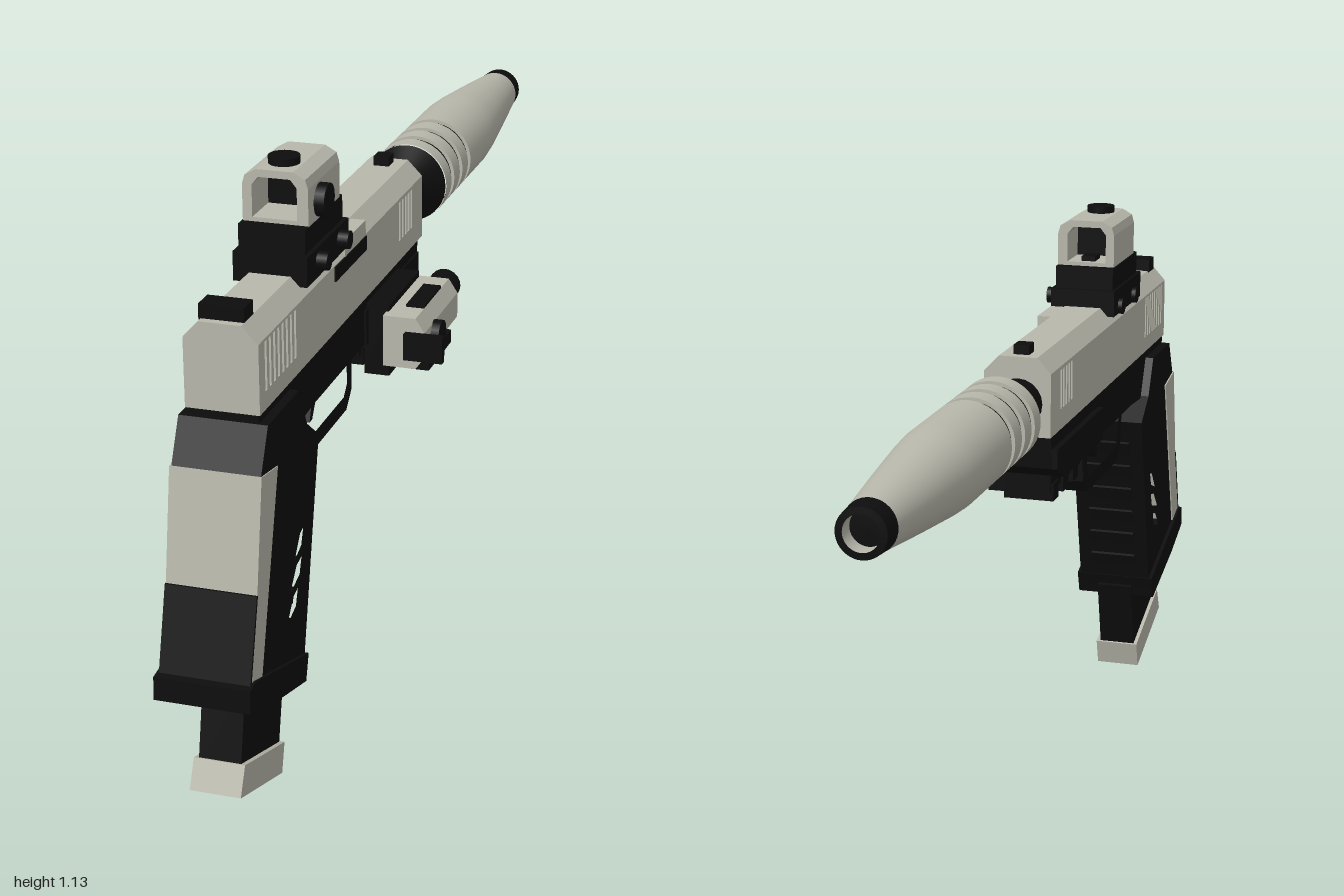
import * as THREE from 'three';

export function createModel() {
  const model = new THREE.Group();
  const light = new THREE.MeshStandardMaterial({ color: 0xb8b7ab });
  light.name = 'warm grey';
  const black = new THREE.MeshStandardMaterial({ color: 0x0d0d0d });
  black.name = 'black';
  const CX = -0.069, CY = 0.845;

  const add = (name, geo, mat) => {
    const m = new THREE.Mesh(geo, mat);
    m.name = name;
    model.add(m);
    return m;
  };
  const vec = (pts) => pts.map(([a, b]) => new THREE.Vector2(a, b));
  const extrude = (pts, depth, holes = []) => {
    const s = new THREE.Shape(vec(pts));
    holes.forEach((h) => s.holes.push(new THREE.Path(vec(h))));
    return new THREE.ExtrudeGeometry(s, { depth, bevelEnabled: false });
  };
  // profile in (z, y), extruded across x
  const side = (name, pts, x0, x1, mat, holes) =>
    add(name, extrude(pts, x1 - x0, holes).rotateY(-Math.PI / 2).translate(x1, 0, 0), mat);
  // profile in (x, y), extruded along z
  const along = (name, pts, z0, z1, mat, holes) =>
    add(name, extrude(pts, z1 - z0, holes).translate(0, 0, z0), mat);
  const box = (name, x0, x1, y0, y1, z0, z1, mat) =>
    add(name, new THREE.BoxGeometry(x1 - x0, y1 - y0, z1 - z0)
      .translate((x0 + x1) / 2, (y0 + y1) / 2, (z0 + z1) / 2), mat);
  const knob = (name, axis, r, len, x, y, z, mat = black) => {
    const g = new THREE.CylinderGeometry(r, r, len, 20);
    if (axis === 'x') g.rotateZ(Math.PI / 2);
    if (axis === 'z') g.rotateX(Math.PI / 2);
    return add(name, g.translate(x, y, z), mat);
  };
  const lathe = (name, pts, mat) =>
    add(name, new THREE.LatheGeometry(vec(pts.map(([z, r]) => [r, -z])), 40)
      .rotateX(-Math.PI / 2).translate(CX, CY, 0), mat);
  const rect = (a0, a1, b0, b1) => [[a0, b0], [a1, b0], [a1, b1], [a0, b1]];

  // Slide: hollow shell with slotted sides and a chamfered roof
  const slots = [];
  for (let i = 0; i < 8; i++) {
    const z = 0.675 + i * 0.0215;
    slots.push([[z, 0.812], [z + 0.01, 0.812], [z + 0.01, 0.902], [z, 0.902]]);
  }
  for (let i = 0; i < 5; i++) {
    const z = -0.035 + i * 0.02;
    slots.push(rect(z, z + 0.011, 0.82, 0.9));
  }
  const wall = rect(-0.105, 0.865, 0.778, 0.907);
  side('slideSide', wall, -0.136, -0.122, light, slots);
  side('slideSide', wall, -0.014, 0, light, slots);
  along('slideRoof', [[-0.136, 0.907], [0, 0.907], [-0.03, 0.938], [-0.108, 0.938]], -0.105, 0.865, light);
  box('slideBack', -0.122, -0.014, 0.778, 0.907, 0.845, 0.865, light);
  box('slideNose', -0.122, -0.014, 0.778, 0.907, -0.105, -0.085, light);
  box('ejectionPort', -0.004, 0.003, 0.877, 0.905, 0.275, 0.46, black);
  box('ejectionPortCover', -0.035, 0.001, 0.905, 0.936, 0.275, 0.4, light);
  box('rearSight', -0.112, -0.03, 0.935, 0.964, 0.805, 0.85, black);
  box('frontSight', -0.086, -0.054, 0.935, 0.957, -0.085, -0.05, black);

  // Barrel and suppressor
  knob('barrel', 'z', 0.05, 0.75, CX, CY, 0.165);
  lathe('suppressorCollar', [[-0.19, 0.05], [-0.205, 0.06], [-0.235, 0.082]], black);
  const bands = [-0.235, -0.275, -0.297, -0.34, -0.361, -0.405, -0.426];
  for (let i = 0; i < 6; i++) {
    const r = i % 2 ? 0.077 : 0.084, a = bands[i], b = bands[i + 1];
    lathe(i % 2 ? 'suppressorGroove' : 'suppressorRing', [[a, r], [b, r]], i % 2 ? black : light);
    if (i % 2) {
      lathe('ringEdge', [[a, 0.084], [a - 0.0001, 0.077]], light);
      lathe('ringEdge', [[b + 0.0001, 0.077], [b, 0.084]], light);
    }
  }
  lathe('suppressorBody', [[-0.426, 0.084], [-0.6, 0.084], [-0.66, 0.08], [-0.8, 0.066], [-0.955, 0.049]], light);
  lathe('suppressorTip', [[-0.955, 0.049], [-0.999, 0.046]], black);
  lathe('suppressorTipFace', [[-0.999, 0.046], [-1, 0.033]], black);
  lathe('suppressorBore', [[-1, 0.033], [-0.965, 0.033]], light);
  lathe('suppressorBoreEnd', [[-0.965, 0.033], [-0.966, 0]], black);

  // Frame under the slide
  side('frame', [[0.86, 0.778], [0.86, 0.745], [0.72, 0.67], [0.58, 0.68], [0.27, 0.68], [-0.03, 0.68],
    [-0.085, 0.71], [-0.09, 0.778]].reverse(), -0.133, -0.005, black);
  side('dustCover', [[-0.085, 0.71], [-0.03, 0.68], [0.27, 0.68], [0.27, 0.75], [-0.085, 0.75]], -0.145, -0.001, black);
  box('accessoryRail', -0.115, -0.022, 0.645, 0.69, -0.03, 0.25, black);
  for (let i = 0; i < 4; i++) {
    const z = -0.025 + i * 0.075;
    box('railTooth', -0.12, -0.017, 0.625, 0.66, z, z + 0.04, black);
  }

  // Trigger guard and trigger
  side('triggerGuard', [[0.6, 0.7], [0.587, 0.59], [0.555, 0.553], [0.3, 0.553], [0.265, 0.585], [0.265, 0.7]],
    -0.105, -0.033, black,
    [[[0.57, 0.67], [0.557, 0.605], [0.54, 0.585], [0.315, 0.585], [0.295, 0.605], [0.295, 0.67]]]);
  side('trigger', [[0.47, 0.7], [0.405, 0.7], [0.41, 0.64], [0.445, 0.59], [0.46, 0.59], [0.44, 0.64]], -0.085, -0.053, black);

  // Grip with slanted through-slots
  const gripSlots = [[0, 0.03], [0.012, 0.045], [0.035, 0.04]].map(([dz, w], i) => {
    const z = 0.69 + dz, y = 0.49 - i * 0.053;
    return [[z, y], [z + w * 0.6, y - 0.005], [z + w + 0.02, y - 0.045], [z + 0.012, y - 0.03]];
  });
  side('grip', [[0.86, 0.76], [0.9, 0.68], [0.82, 0.668], [0.932, 0.31], [0.92, 0.255], [0.705, 0.19],
    [0.597, 0.633], [0.66, 0.68], [0.7, 0.76]], -0.151, 0.012, black, gripSlots);
  side('backstrap', [[0.902, 0.682], [0.82, 0.668], [0.925, 0.3], [0.98, 0.32], [0.937, 0.475]], -0.154, 0.014, light);
  side('backstrapLowerFace', [[0.941, 0.475], [0.984, 0.32], [0.978, 0.32], [0.935, 0.475]], -0.1545, 0.0145, black);
  side('magazineWell', [[0.968, 0.325], [0.998, 0.322], [1, 0.278], [0.9, 0.24], [0.708, 0.185], [0.692, 0.235]],
    -0.159, 0.019, black);
  for (let i = 0; i < 6; i++) {
    const t = 0.12 + i * 0.13, z = 0.597 + 0.108 * t, y = 0.633 - 0.443 * t;
    side('gripRib', [[z - 0.006, y], [z + 0.02, y + 0.015], [z + 0.025, y - 0.03], [z + 0.003, y - 0.028]], -0.12, -0.018, black);
  }

  // Magazine and its base
  side('magazine', [[0.895, 0.26], [0.925, 0.118], [0.728, 0.05], [0.69, 0.21]], -0.11, -0.03, black);
  side('magazineBase', [[0.928, 0.128], [0.953, 0.075], [0.738, 0], [0.722, 0.057]], -0.118, -0.021, light);

  // Optic: stepped mount and open hood
  box('opticMount', -0.138, 0.001, 0.92, 0.975, 0.38, 0.615, black);
  box('opticRiser', -0.132, -0.007, 0.97, 1.022, 0.39, 0.6, black);
  for (const z of [0.43, 0.55]) {
    knob('mountScrew', 'x', 0.017, 0.03, 0.006, 0.95, z);
    knob('mountScrew', 'x', 0.017, 0.02, -0.137, 0.935, z);
  }
  along('opticHood', [[-0.13, 1.02], [-0.007, 1.02], [-0.007, 1.09], [-0.012, 1.107], [-0.034, 1.119],
    [-0.104, 1.119], [-0.125, 1.107], [-0.13, 1.09]], 0.405, 0.58, light,
  [[[-0.112, 1.03], [-0.028, 1.03], [-0.028, 1.09], [-0.04, 1.105], [-0.1, 1.105], [-0.112, 1.09]]]);
  box('opticLens', -0.113, -0.027, 1.025, 1.106, 0.488, 0.496, black);
  box('opticEmitter', -0.085, -0.055, 1.02, 1.04, 0.42, 0.46, black);
  knob('opticTopDial', 'y', 0.029, 0.018, CX, 1.124, 0.527);
  knob('opticSideDial', 'x', 0.031, 0.022, 0.001, 1.054, 0.52);

  // Side-mounted lamp
  box('lampMount', -0.01, 0.04, 0.615, 0.76, 0.05, 0.255, black);
  along('lampBody', [[0.035, 0.645], [0.1, 0.645], [0.118, 0.67], [0.118, 0.72], [0.1, 0.748], [0.035, 0.748]],
    0.045, 0.278, light);
  box('lampTopPlate', 0.064, 0.1, 0.745, 0.753, 0.1, 0.22, black);
  box('lampBottomPlate', 0.07, 0.11, 0.62, 0.646, 0.06, 0.22, black);
  knob('lampSideButton', 'x', 0.028, 0.02, 0.124, 0.695, 0.21);
  knob('lampFront', 'z', 0.032, 0.035, 0.082, 0.722, 0.026);
  knob('lampLaser', 'z', 0.022, 0.035, 0.082, 0.668, 0.03);
  box('lampLever', 0.08, 0.157, 0.667, 0.72, 0.277, 0.293, black);

  return model;
}
